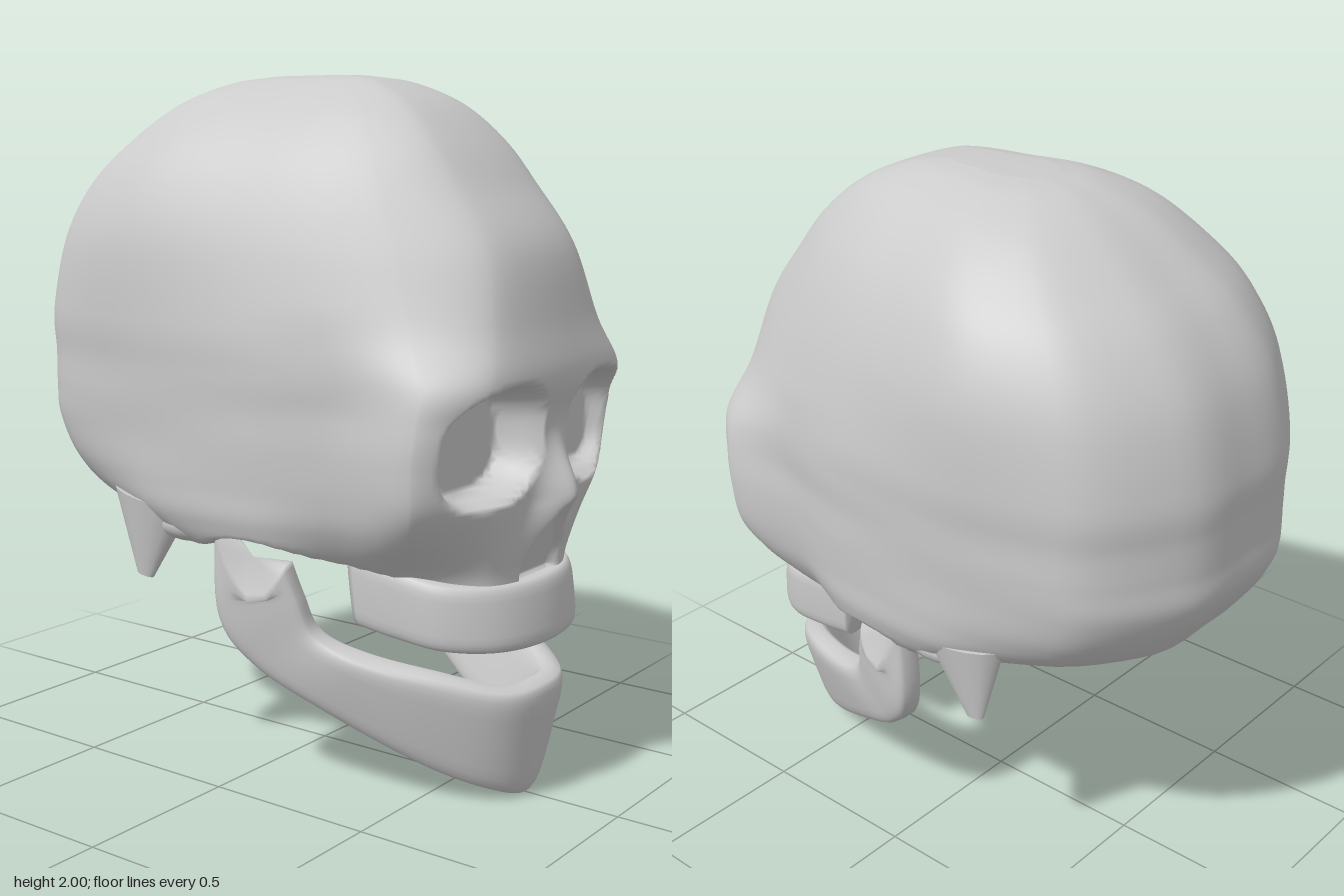
import * as THREE from 'three';

const { lerp, smoothstep } = THREE.MathUtils;
const material = new THREE.MeshStandardMaterial({ color: 0xcccccc, side: THREE.DoubleSide });

function addMesh(group, geometry, name) {
  const mesh = new THREE.Mesh(geometry, material);
  mesh.name = name;
  group.add(mesh);
  return mesh;
}

// Skin closed rings of Vector3 and close both ends with a fan.
function loft(rings) {
  const n = rings[0].length, points = rings.flat(), index = [];
  for (let i = 0; i < rings.length - 1; i++) {
    for (let j = 0; j < n; j++) {
      const a = i * n + j, b = i * n + (j + 1) % n;
      index.push(a, b, b + n, a, b + n, a + n);
    }
  }
  for (const [ring, start] of [[rings[0], 0], [rings.at(-1), (rings.length - 1) * n]]) {
    const c = points.length;
    const middle = ring.reduce((s, p) => s.add(p), new THREE.Vector3()).divideScalar(n);
    points.push(middle);
    for (let j = 0; j < n; j++) {
      const a = start + j, b = start + (j + 1) % n;
      index.push(c, ...(start === 0 ? [b, a] : [a, b]));
    }
  }
  const geometry = new THREE.BufferGeometry().setFromPoints(points);
  geometry.setIndex(index);
  geometry.computeVertexNormals();
  return geometry;
}

// Cranium levels: y, front z, front half width, corner x, corner z,
// temple x, widest x, back corner x, back z
const LEVELS = [
  [0.62, 0.745, 0.20, 0.29, 0.48, 0.30, 0.28, 0.16, -0.26],
  [0.68, 0.75, 0.21, 0.35, 0.49, 0.46, 0.45, 0.26, -0.42],
  [0.78, 0.76, 0.24, 0.43, 0.58, 0.52, 0.52, 0.37, -0.68],
  [0.88, 0.77, 0.29, 0.48, 0.63, 0.53, 0.54, 0.43, -0.78],
  [1.00, 0.775, 0.33, 0.495, 0.64, 0.54, 0.545, 0.45, -0.845],
  [1.10, 0.785, 0.34, 0.49, 0.65, 0.54, 0.555, 0.46, -0.847],
  [1.20, 0.81, 0.34, 0.47, 0.65, 0.545, 0.56, 0.46, -0.847],
  [1.33, 0.785, 0.28, 0.42, 0.58, 0.545, 0.568, 0.46, -0.845],
  [1.54, 0.735, 0.23, 0.375, 0.50, 0.51, 0.56, 0.44, -0.79],
  [1.70, 0.62, 0.21, 0.34, 0.42, 0.455, 0.51, 0.40, -0.69],
  [1.82, 0.52, 0.19, 0.29, 0.36, 0.38, 0.43, 0.34, -0.56],
  [1.92, 0.40, 0.15, 0.225, 0.28, 0.28, 0.32, 0.26, -0.42],
  [1.98, 0.26, 0.10, 0.14, 0.18, 0.165, 0.19, 0.15, -0.29],
  [2.00, 0.14, 0.05, 0.07, 0.10, 0.08, 0.09, 0.07, -0.17],
];

// Skull base: arches over the jaw joint, then bulges down and curves up behind
function baseHeight(x, z) {
  if (z > 0.3) return 0.70 - (z - 0.3) * 0.2;
  const front = 0.70 + 0.045 * Math.sin(Math.PI * Math.max(0, 0.3 - z) / 0.4);
  const back = 0.665 + 0.25 * (z + 0.05) ** 2 + 0.15 * x * x;
  return lerp(back, front, smoothstep(z, -0.08, 0.02));
}

// Eye sockets, nose bridge and nose opening
function shapeFace(p) {
  const x = Math.abs(p.x), y = p.y;
  if (p.z > 0.3) {
    const rise = y > 0.87 ? 1 - smoothstep(y, 0.87, 1.08) : Math.max(0, (y - 0.69) / 0.18);
    const spread = y > 0.87 ? 0.055 : lerp(0.12, 0.055, rise);
    p.z += 0.08 * rise * Math.exp(-((x / spread) ** 2));

    const dx = Math.abs(x - 0.257) / 0.19;
    const dy = Math.abs(y - 1.035 + 0.08 * (x - 0.255)) / 0.157;
    const socket = 1 - smoothstep((dx ** 2.7 + dy ** 2.7) ** (1 / 2.7), 0.82, 1.01);
    p.z = lerp(p.z, Math.min(p.z, 0.65), socket);

    const width = 0.105 * Math.min(1, (0.88 - y) / 0.17);
    const opening = smoothstep(width - x, 0, 0.018) * smoothstep(y, 0.63, 0.65);
    p.z = lerp(p.z, Math.min(p.z, 0.71 + (y - 0.65) * 0.4), opening);
  }
  p.y = Math.max(y, baseHeight(x, p.z));
  return p;
}

function craniumGeometry() {
  const size = LEVELS[0].length, steps = 8;
  const spline = new THREE.CubicInterpolant(LEVELS.map((_, i) => i), LEVELS.flat(), size, new Array(size));
  // Samples are denser across the face
  const half = [];
  [24, 16, 5, 5, 6, 6, 5, 4].forEach((count, k) => {
    for (let s = 0; s < count; s++) half.push((k + s / count) / 16);
  });
  const samples = [...half, 0.5, ...half.slice(1).reverse().map(t => 1 - t)];
  const rings = [];
  for (let r = 0; r <= (LEVELS.length - 1) * steps; r++) {
    const [y, zf, xf, xc, zc, xm, xw, xb, zb] = spline.evaluate(r / steps);
    const pinch = 0.035 * (1 - smoothstep(y, 1.1, 1.4));
    const side = [
      [xf, lerp(zf, zc, 0.17)], [xc, zc], [lerp(xc, xm, 0.6) - pinch, lerp(zc, zb, 0.16)],
      [xm, lerp(zc, zb, 0.34)], [xw, lerp(zc, zb, 0.63)], [xb, lerp(zc, zb, 0.87)],
      [xb * 0.45, lerp(zc, zb, 0.99)],
    ];
    const outline = [[0, zf], ...side, [0, zb], ...side.map(([x, z]) => [-x, z]).reverse()];
    const curve = new THREE.CatmullRomCurve3(
      outline.map(([x, z]) => new THREE.Vector3(x, y, z)), true, 'catmullrom', 0.4);
    rings.push(samples.map(t => shapeFace(curve.getPoint(t))));
  }
  return loft(rings);
}

// Mirrored bone arch: each station is a top point and a bottom point,
// given from the middle to the left end; dip hollows the end edge.
function archGeometry(stations, thickness, dip = 0) {
  const edge = k => {
    const left = stations.map(s => new THREE.Vector3(...s[k]));
    const right = left.slice(1).reverse().map(p => new THREE.Vector3(-p.x, p.y, p.z));
    return new THREE.CatmullRomCurve3([...right, ...left], false, 'catmullrom', 0.5);
  };
  const top = edge(0), bottom = edge(1), rings = [], count = 80, sides = 24;
  const soft = v => Math.sign(v) * Math.sqrt(Math.abs(v));
  for (let i = 0; i <= count; i++) {
    const t = i / count, a = top.getPoint(t), b = bottom.getPoint(t);
    const along = top.getTangent(t).add(bottom.getTangent(t));
    const normal = a.clone().sub(b).cross(along).normalize();
    const hollow = dip * smoothstep(Math.abs(t - 0.5), 0.42, 0.5);
    const ring = [];
    for (let j = 0; j < sides; j++) {
      const angle = j / sides * Math.PI * 2, h = soft(Math.sin(angle));
      const p = b.clone().lerp(a, 0.5 + 0.5 * h);
      p.addScaledVector(normal, thickness * soft(Math.cos(angle)));
      p.y -= hollow * (1 - h * h);
      ring.push(p);
    }
    rings.push(ring);
  }
  return loft(rings);
}

export function createModel() {
  const model = new THREE.Group();
  model.name = 'skull';
  addMesh(model, craniumGeometry(), 'cranium');

  addMesh(model, archGeometry([
    [[0, 0.645, 0.735], [0, 0.46, 0.76]],
    [[0.17, 0.645, 0.70], [0.17, 0.462, 0.725]],
    [[0.275, 0.655, 0.61], [0.27, 0.47, 0.62]],
    [[0.30, 0.68, 0.48], [0.29, 0.485, 0.48]],
    [[0.30, 0.71, 0.33], [0.29, 0.50, 0.35]],
  ], 0.04), 'upperJaw');

  addMesh(model, archGeometry([
    [[0, 0.34, 0.74], [0, 0.005, 0.685]],
    [[0.14, 0.345, 0.71], [0.10, 0.04, 0.64]],
    [[0.25, 0.385, 0.57], [0.20, 0.11, 0.49]],
    [[0.325, 0.42, 0.38], [0.31, 0.24, 0.25]],
    [[0.355, 0.47, 0.25], [0.39, 0.355, 0.06]],
    [[0.38, 0.57, 0.21], [0.44, 0.50, -0.035]],
    [[0.40, 0.67, 0.18], [0.45, 0.79, -0.035]],
  ], 0.045, 0.15), 'lowerJaw');

  // Bony points behind and above the jaw joint
  for (const side of [-1, 1]) {
    const mastoid = addMesh(model, new THREE.CylinderGeometry(0.14, 0.03, 0.24, 16, 4), 'mastoidProcess');
    mastoid.scale.set(0.45, 1, 1);
    mastoid.rotation.x = 0.15;
    mastoid.position.set(side * 0.465, 0.69, -0.285);
    const ridge = addMesh(model, new THREE.SphereGeometry(1, 16, 10), 'earRidge');
    ridge.scale.set(0.06, 0.05, 0.11);
    ridge.position.set(side * 0.45, 0.745, -0.15);
  }
  return model;
}
